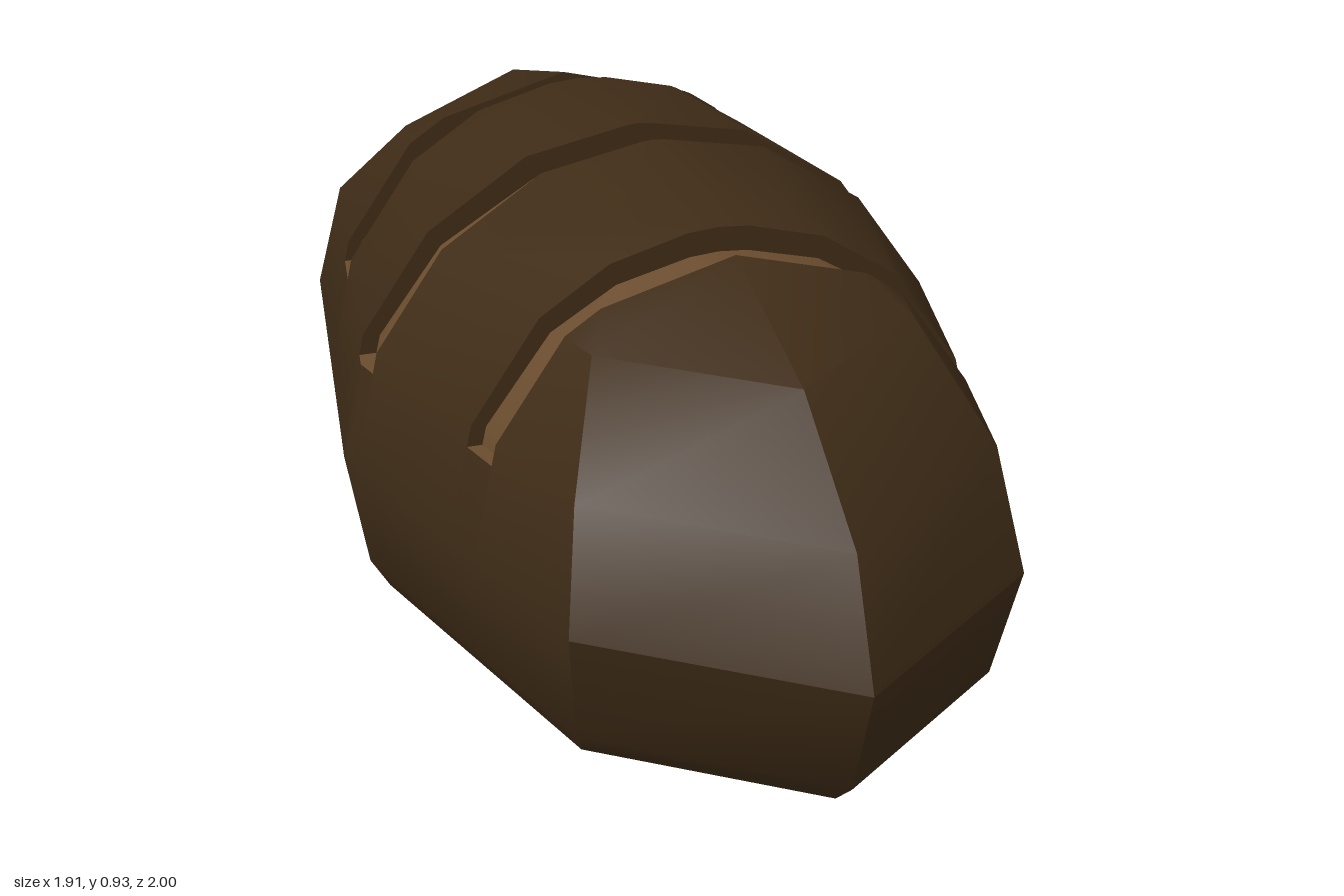
import * as THREE from 'three';
import { toCreasedNormals } from 'three/addons/utils/BufferGeometryUtils.js';

// Half of the eight-sided plan outline (x, z); the other half is its half-turn
const HALF = [[-0.866, -0.99], [-0.27, -1], [0.48, -0.425], [0.953, 0.4]];
const OUTLINE = [...HALF, ...HALF.map(([x, z]) => [-x, -z])];
const MID = 0.303, RADIUS = 0.628;

// Scores run across the loaf: s is measured along the loaf, t along a score
const AXIS = new THREE.Vector3(0.667, 0, 0.745);
const CROSS = new THREE.Vector3(0.745, 0, -0.667);
const UP = new THREE.Vector3(0, 1, 0);
const CUTS = [-0.5, 0, 0.5], HALF_WIDTH = 0.05, SCORE_BASE = 0.5;

// Part of a convex polygon on the side of a plane where sign * (n.p - d) >= 0
function clip(poly, n, d, sign) {
  const out = [];
  poly.forEach((a, i) => {
    const b = poly[(i + 1) % poly.length];
    const da = sign * (a.dot(n) - d), db = sign * (b.dot(n) - d);
    if (da >= -1e-7) out.push(a);
    if ((da > 1e-7 && db < -1e-7) || (da < -1e-7 && db > 1e-7)) {
      out.push(a.clone().lerp(b, da / (da - db)));
    }
  });
  return out;
}

function makeMesh(polys, color, name, crease) {
  const pos = [];
  for (const p of polys) {
    for (let i = 1; i < p.length - 1; i++) {
      const tri = new THREE.Triangle(p[0], p[i], p[i + 1]);
      if (tri.getArea() < 1e-7) continue;
      for (const v of [tri.a, tri.b, tri.c]) pos.push(v.x, v.y, v.z);
    }
  }
  const geo = new THREE.BufferGeometry();
  geo.setAttribute('position', new THREE.Float32BufferAttribute(pos, 3));
  const mesh = new THREE.Mesh(toCreasedNormals(geo, crease), new THREE.MeshStandardMaterial({ color }));
  mesh.name = name;
  return mesh;
}

// Faces of the uncut loaf: a stretched, eight-sided dome with a flat base
function loafFaces() {
  const levels = [[0, 0.86]];
  for (let k = -1; k <= 4; k++) {
    const a = (k * Math.PI) / 8;
    levels.push([MID + RADIUS * Math.sin(a), k === 4 ? 0 : Math.cos(a)]);
  }
  const rings = levels.map(([y, f]) => OUTLINE.map(([x, z]) => new THREE.Vector3(x * f, y, z * f)));
  const faces = [rings[0]];
  for (let r = 0; r < rings.length - 1; r++) {
    for (let i = 0; i < 8; i++) {
      const j = (i + 1) % 8, face = [rings[r][j], rings[r][i], rings[r + 1][i]];
      if (r < rings.length - 2) face.push(rings[r + 1][j]);
      faces.push(face);
    }
  }
  return faces;
}

// Sinks a point to the floor of a score, keeping its position along the loaf
function sink(p) {
  const q = p.clone().addScaledVector(CROSS, -0.06 * p.dot(CROSS));
  q.y = SCORE_BASE + (p.y - SCORE_BASE) * 0.87;
  return q;
}

export function createModel() {
  const crust = [], floors = [], walls = [], ledges = [];
  const keep = (list, poly) => { if (poly.length > 2) list.push(poly); };

  for (const face of loafFaces()) {
    let rest = face;
    for (const c of CUTS) {
      const lo = c - HALF_WIDTH, hi = c + HALF_WIDTH;
      keep(crust, clip(rest, AXIS, lo, -1));
      rest = clip(rest, AXIS, lo, 1);
      const strip = clip(rest, AXIS, hi, -1);
      rest = clip(rest, AXIS, hi, 1);
      keep(crust, clip(strip, UP, SCORE_BASE, -1));
      const piece = clip(strip, UP, SCORE_BASE, 1);
      if (piece.length < 3) continue;
      floors.push(piece.map(sink));
      // Walls and end ledges join the crust edge to the sunken floor
      piece.forEach((a, i) => {
        const b = piece[(i + 1) % piece.length];
        const on = (n, d) => Math.abs(a.dot(n) - d) < 1e-5 && Math.abs(b.dot(n) - d) < 1e-5;
        const quad = [a, b, sink(b), sink(a)];
        if (on(UP, SCORE_BASE)) ledges.push(quad);
        else if (on(AXIS, lo) || on(AXIS, hi)) walls.push(quad);
      });
    }
    keep(crust, rest);
  }

  const group = new THREE.Group();
  group.name = 'breadLoaf';
  group.add(
    makeMesh(crust, 0x3f2c17, 'crust', 0.52),
    makeMesh(walls, 0x3f2c17, 'scoreWalls', 0.3),
    makeMesh(floors, 0x6a4c2e, 'scoreFloors', 0.52),
    makeMesh(ledges, 0x6a4c2e, 'scoreEnds', 0.3),
  );
  return group;
}
